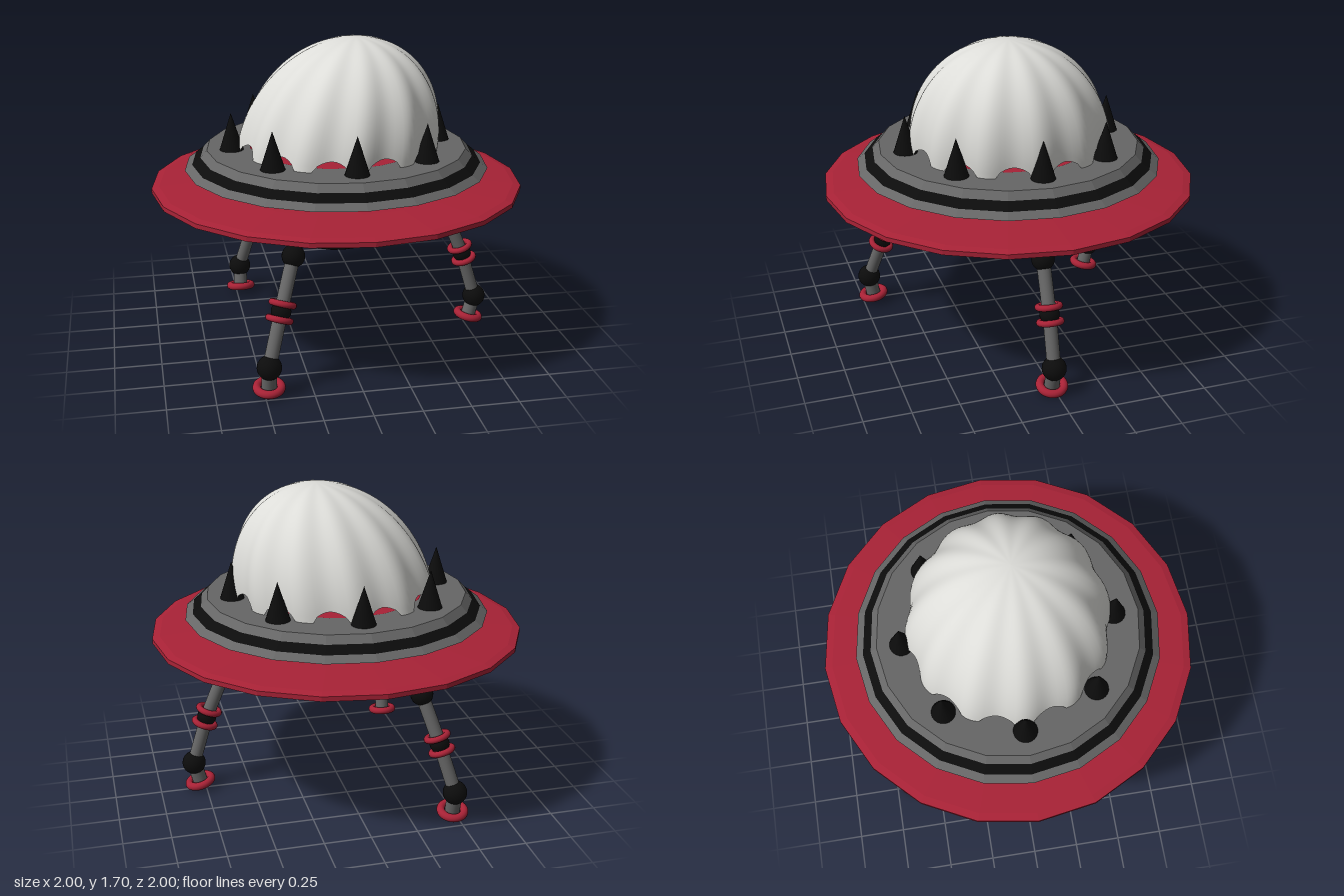
import * as THREE from 'three';

const mat = (name, color, extra = {}) => {
  const m = new THREE.MeshStandardMaterial({ color, ...extra });
  m.name = name;
  return m;
};

export function createModel() {
  const model = new THREE.Group();
  model.name = 'flyingSaucer';

  const grey = mat('hull grey', 0x666666);
  const red = mat('trim red', 0xa82236);
  const black = mat('joint black', 0x0c0c0c);
  const white = mat('dome white', 0xdcdcd8, { side: THREE.DoubleSide });
  const glass = mat('window teal', 0x86c6d0);

  const add = (name, geo, material, parent = model) => {
    const mesh = new THREE.Mesh(geo, material);
    mesh.name = name;
    parent.add(mesh);
    return mesh;
  };

  // Twenty-sided flat-faced turned part; profile runs bottom to top on the outside
  const turned = (name, profile, material) => {
    const geo = new THREE.LatheGeometry(profile.map(([r, y]) => new THREE.Vector2(r, y)), 20).toNonIndexed();
    geo.computeVertexNormals();
    return add(name, geo, material);
  };

  // Lower hull
  turned('window recess', [[0.2, 0.63], [0.2, 0.57]], white);
  turned('belly window', [[0, 0.63], [0.2, 0.63]], glass);
  turned('belly band', [[0.2, 0.57], [0.36, 0.64]], black);
  turned('lower hull', [[0.36, 0.64], [0.62, 0.86]], grey);
  turned('hull seam', [[0.62, 0.858], [0.675, 0.862]], black);

  // Wide red rim
  turned('rim disc', [[0.6, 0.862], [0.7, 0.865], [0.96, 0.88], [1, 0.89], [1, 0.915],
    [0.96, 0.925], [0.7, 0.945], [0.55, 0.95]], red);

  // Upper deck with a painted black stripe
  turned('deck underside', [[0.64, 0.945], [0.82, 1.005]], grey);
  turned('deck lower bevel', [[0.82, 1.005], [0.78, 1.035]], grey);
  turned('deck stripe', [[0.78, 1.035], [0.735, 1.072]], black);
  turned('deck upper bevel', [[0.735, 1.072], [0.7, 1.11]], grey);
  turned('deck top', [[0.7, 1.11], [0, 1.11]], grey);
  turned('cabin floor', [[0.47, 1.113], [0, 1.113]], red);

  // Fluted dome, leaning to one side, with an arched lower edge
  const around = 144, up = 28, lobes = 12;
  const pos = [], idx = [];
  for (let j = 0; j <= up; j++) {
    for (let i = 0; i < around; i++) {
      const a = (i / around) * Math.PI * 2;
      const wave = Math.cos(lobes * a);
      const arch = Math.sqrt(Math.max(0, (0.5 - wave) / 1.5));
      const t0 = Math.asin(0.055 * arch / 0.59);
      const t = t0 + (Math.PI / 2 - t0) * (j / up);
      const r = 0.535 * Math.cos(t) * (1 + 0.025 * wave);
      pos.push(0.01 + 0.09 * Math.sin(t) + r * Math.sin(a), 1.11 + 0.59 * Math.sin(t),
        0.03 * Math.sin(t) + r * Math.cos(a));
      if (j < up) {
        const n = (i + 1) % around, p = j * around + i, q = j * around + n;
        idx.push(p, q, p + around, q, q + around, p + around);
      }
    }
  }
  const dome = new THREE.BufferGeometry();
  dome.setAttribute('position', new THREE.Float32BufferAttribute(pos, 3));
  dome.setIndex(idx);
  dome.computeVertexNormals();
  add('dome', dome, white);

  // Ring of spikes around the dome
  for (let i = 0; i < 8; i++) {
    const a = (i * Math.PI) / 4;
    add('spike', new THREE.ConeGeometry(0.064, 0.2, 20), black)
      .position.set(0.567 * Math.cos(a), 1.21, 0.567 * Math.sin(a));
  }

  // Leg helpers
  const V = (p) => new THREE.Vector3(...p);
  const Y = new THREE.Vector3(0, 1, 0), Z = new THREE.Vector3(0, 0, 1);
  const rod = (name, a, b, r, material, parent) => {
    const dir = b.clone().sub(a);
    const m = add(name, new THREE.CylinderGeometry(r, r, dir.length(), 20), material, parent);
    m.position.copy(a).lerp(b, 0.5);
    m.quaternion.setFromUnitVectors(Y, dir.normalize());
  };
  const ring = (name, at, axis, radius, tube, parent) => {
    const m = add(name, new THREE.TorusGeometry(radius, tube, 12, 28), red, parent);
    m.position.copy(at);
    m.quaternion.setFromUnitVectors(Z, axis.clone().normalize());
  };
  const ball = (name, at, r, parent) =>
    add(name, new THREE.SphereGeometry(r, 24, 16), black, parent).position.copy(at);

  // Three legs: hip ring on the hull, knee, mid joint, ankle, foot
  const legs = [
    { name: 'leftLeg', hip: [0.55, 0.782, 0.015], knee: [0.62, 0.69, 0.015], mid: [0.728, 0.43, 0.015],
      ankle: [0.81, 0.157, 0.015], foot: [0.78, 0.04, 0.015] },
    { name: 'frontLeg', hip: [-0.285, 0.762, 0.44], knee: [-0.32, 0.685, 0.525], mid: [-0.402, 0.432, 0.63],
      ankle: [-0.477, 0.165, 0.71], foot: [-0.478, 0.045, 0.69], arm: true },
    { name: 'backLeg', hip: [-0.28, 0.78, -0.465], knee: [-0.32, 0.69, -0.548], mid: [-0.4, 0.432, -0.622],
      ankle: [-0.475, 0.165, -0.68], foot: [-0.475, 0.043, -0.652] },
  ];
  for (const L of legs) {
    const leg = new THREE.Group();
    leg.name = L.name;
    model.add(leg);
    const [hip, knee, mid, ankle, foot] = [L.hip, L.knee, L.mid, L.ankle, L.foot].map(V);
    const outward = V([hip.x, 0, hip.z]).normalize();
    ring('hip ring', hip, outward.clone().multiplyScalar(0.65).sub(Y.clone().multiplyScalar(0.76)), 0.06, 0.022, leg);
    if (L.arm) rod('hip arm', hip.clone().addScaledVector(outward, -0.05).setY(0.8), knee, 0.035, grey, leg);
    ball('knee', knee, 0.06, leg);
    rod('upper leg', knee, mid, 0.036, grey, leg);
    rod('lower leg', mid, ankle, 0.036, grey, leg);
    ball('mid joint', mid, 0.052, leg);
    const axis = ankle.clone().sub(knee).normalize();
    for (const s of [-0.04, 0.04])
      ring('mid ring', mid.clone().addScaledVector(axis, s), axis, 0.056, 0.017, leg);
    ball('ankle', ankle, 0.064, leg);
    rod('shin', ankle, foot, 0.04, grey, leg);
    ring('foot', foot, ankle.clone().sub(foot), 0.063, 0.022, leg);
  }
  return model;
}
